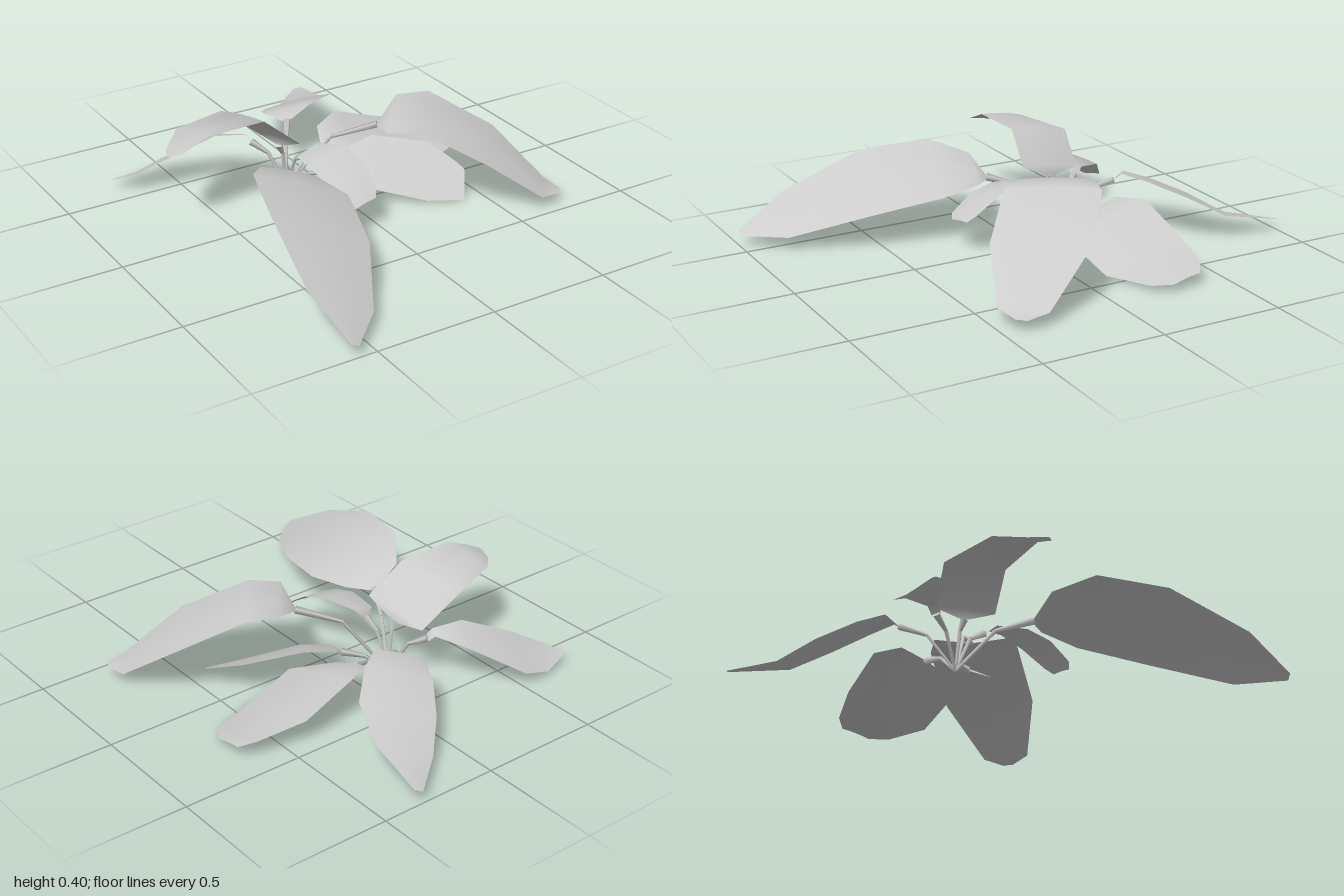
import * as THREE from 'three';

const leafGrey = new THREE.MeshStandardMaterial({ color: 0xcccccc, side: THREE.DoubleSide });
leafGrey.name = 'leafGrey';

const ROOT = new THREE.Vector3(-0.15, 0.01, -0.24);
const NECK_WIDTH = 0.035;
const COLUMNS = 4;

// Arched blade across the midrib; roll is the sideways slope at the base and at the tip
function bladeGeometry(midrib, widths, roll) {
  const last = midrib.length - 1;
  const out = midrib[last].clone().sub(midrib[0]).setY(0).normalize();
  const side = new THREE.Vector3(out.z, 0, -out.x);
  const positions = [], index = [];
  midrib.forEach((centre, row) => {
    const slope = THREE.MathUtils.lerp(roll[0], roll[1], row / last);
    for (let j = 0; j <= COLUMNS; j++) {
      const u = j / COLUMNS - 0.5;
      const across = u * widths[row];
      const lift = 0.03 * widths[row] * (1 - 4 * u * u);
      const p = centre.clone().addScaledVector(side, across);
      positions.push(p.x, p.y + slope * across + lift, p.z);
      if (row > 0 && j > 0) {
        const k = row * (COLUMNS + 1) + j, before = k - COLUMNS - 1;
        index.push(before - 1, before, k, before - 1, k, k - 1);
      }
    }
  });
  const geometry = new THREE.BufferGeometry();
  geometry.setAttribute('position', new THREE.Float32BufferAttribute(positions, 3));
  geometry.setIndex(index);
  geometry.computeVertexNormals();
  return geometry;
}

// One straight four-sided piece of stalk
function stalk(from, to, startRadius, endRadius) {
  const direction = to.clone().sub(from);
  const geometry = new THREE.CylinderGeometry(endRadius, startRadius, direction.length(), 4);
  const mesh = new THREE.Mesh(geometry, leafGrey);
  mesh.name = 'stem';
  mesh.position.copy(from).lerp(to, 0.5);
  mesh.quaternion.setFromUnitVectors(new THREE.Vector3(0, 1, 0), direction.normalize());
  return mesh;
}

// Blade on a stalk that rises from the root and bends halfway out
function leaf(name, widths, roll, ...points) {
  const midrib = points.map((p) => new THREE.Vector3(...p));
  const neck = midrib[0].clone().lerp(ROOT, 0.14);
  const knee = ROOT.clone().lerp(neck, 0.5).setY(neck.y * 0.8);
  const blade = new THREE.Mesh(bladeGeometry([neck, ...midrib], [NECK_WIDTH, ...widths], roll), leafGrey);
  blade.name = 'blade';
  const group = new THREE.Group();
  group.name = name;
  group.add(blade, stalk(ROOT, knee, 0.006, 0.008), stalk(knee, neck, 0.008, 0.016));
  return group;
}

export function createModel() {
  const plant = new THREE.Group();
  plant.name = 'leafyPlant';
  plant.add(
    // Back leaves
    leaf('backRightLeaf', [0.19, 0.26, 0.29, 0.21, 0.03], [-0.25, -0.28],
      [-0.015, 0.24, -0.46], [0.055, 0.215, -0.54], [0.16, 0.16, -0.66], [0.24, 0.08, -0.795], [0.34, 0.055, -0.99]),
    leaf('backLeftLeaf', [0.04, 0.14, 0.2, 0.145, 0.015], [0.4, 0.4],
      [-0.255, 0.215, -0.385], [-0.355, 0.205, -0.465], [-0.55, 0.1, -0.565], [-0.66, 0.055, -0.59], [-0.757, 0.045, -0.61]),
    // Left and front leaves
    leaf('upperLeftLeaf', [0.28, 0.285, 0.21, 0.11, 0.02], [0.18, 0.2],
      [-0.195, 0.25, -0.22], [-0.34, 0.37, -0.25], [-0.585, 0.378, -0.205], [-0.69, 0.34, -0.155], [-0.722, 0.335, -0.14]),
    leaf('frontLeftLeaf', [0.22, 0.37, 0.37, 0.24, 0.03], [-0.25, -0.55],
      [-0.315, 0.255, 0.07], [-0.35, 0.275, 0.23], [-0.43, 0.235, 0.505], [-0.535, 0.12, 0.815], [-0.59, 0.055, 0.995]),
    leaf('smallFrontLeaf', [0.11, 0.18, 0.195, 0.16, 0.1], [0.3, 0.15],
      [-0.135, 0.235, -0.09], [-0.11, 0.25, 0.035], [-0.1, 0.22, 0.135], [-0.09, 0.155, 0.235], [-0.08, 0.135, 0.26]),
    // Right leaves
    leaf('upperRightLeaf', [0.33, 0.375, 0.375, 0.19, 0.04], [0.1, -0.05],
      [0.205, 0.35, 0.005], [0.32, 0.355, 0.065], [0.525, 0.225, 0.24], [0.68, 0.06, 0.395], [0.735, 0.05, 0.435]),
    leaf('rightLeaf', [0.18, 0.36, 0.35, 0.23, 0.12], [0.4, 0.18],
      [0.08, 0.145, -0.28], [0.21, 0.135, -0.255], [0.435, 0.06, -0.275], [0.63, 0.05, -0.295], [0.685, 0.045, -0.31]),
    leaf('lowRightLeaf', [0.18, 0.26, 0.27, 0.17, 0.13], [0.35, 0.6],
      [0.02, 0.11, -0.1], [0.14, 0.13, -0.05], [0.34, 0.085, 0.07], [0.42, 0.055, 0.15], [0.445, 0.042, 0.18]),
  );
  return plant;
}
